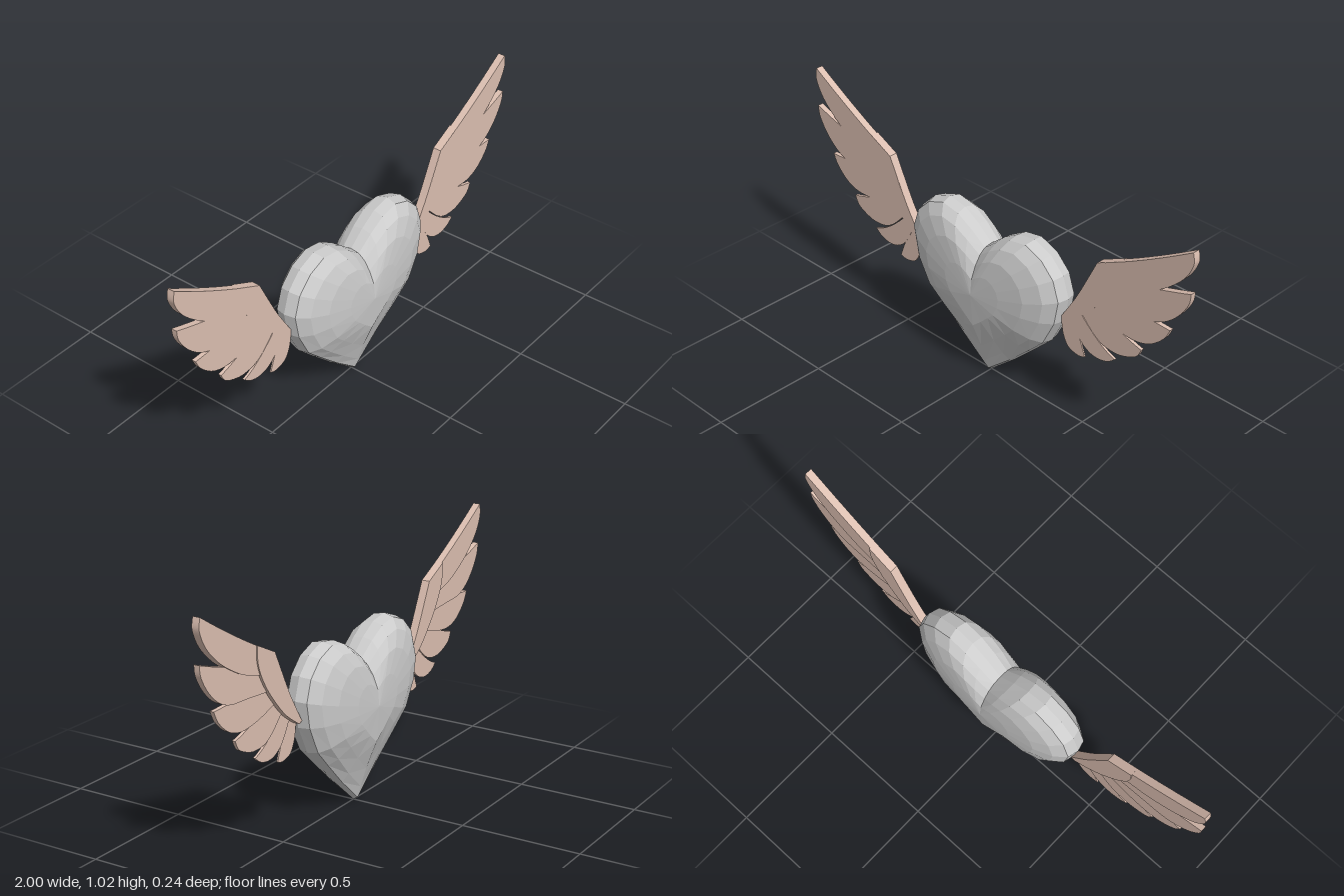
import * as THREE from 'three';

// Faceted heart: a half outline, mirrored, shrunk toward the middle in domed rings
function makeHeart() {
  // x, y, and how thin the dome is there (1 = pointed tip)
  const half = [
    [0, 0.003, 1], [0.13, 0.115, 0.7], [0.25, 0.23, 0.3], [0.33, 0.31, 0.08], [0.39, 0.43, 0],
    [0.41, 0.54, 0], [0.38, 0.63, 0], [0.315, 0.695, 0], [0.23, 0.727, 0], [0.145, 0.712, 0],
    [0.07, 0.667, 0.1], [0, 0.61, 0.3],
  ];
  const outline = [...half, ...half.slice(1, -1).reverse().map(([x, y, w]) => [-x, y, w])];
  // scale, depth of the full dome, depth toward the tip
  const rings = [[1, 0, 0], [0.97, 0.045, 0.02], [0.85, 0.08, 0.034], [0.65, 0.104, 0.06], [0.36, 0.116, 0.107]];
  const midY = 0.42, n = outline.length;
  const layers = [
    ...rings.slice(1).reverse().map((r) => [...r, 1]),
    ...rings.map((r) => [...r, -1]),
  ];
  const pos = [], idx = [];
  for (const [s, full, thin, side] of layers) {
    for (const [x, y, w] of outline) {
      pos.push(x * s, midY + (y - midY) * s, side * (full + (thin - full) * w));
    }
  }
  const front = pos.length / 3, back = front + 1, last = (layers.length - 1) * n;
  pos.push(0, midY, 0.12, 0, midY, -0.12);
  for (let i = 0; i < n; i++) {
    const j = (i + 1) % n;
    idx.push(front, i, j, back, last + j, last + i);
    for (let k = 0; k < layers.length - 1; k++) {
      const a = k * n + i, b = k * n + j;
      idx.push(a, a + n, b, b, a + n, b + n);
    }
  }
  const geo = new THREE.BufferGeometry();
  geo.setAttribute('position', new THREE.Float32BufferAttribute(pos, 3));
  geo.setIndex(idx);
  geo.computeVertexNormals();
  const heart = new THREE.Mesh(geo, new THREE.MeshStandardMaterial({ color: 0xcccccc, flatShading: true }));
  heart.name = 'heart';
  return heart;
}

// Feathers from the top down: start of the upper edge, tip, curved lower edge, root under the cover
const feathers = [
  { start: [0.56, 0.78], sag: [0.755, 0.87], tip: [0.995, 1.02],
    edge: [[1, 0.97], [0.965, 0.9], [0.9, 0.835], [0.835, 0.79], [0.75, 0.745], [0.65, 0.715]], root: [0.5, 0.65] },
  { start: [0.64, 0.75], sag: [0.82, 0.785], tip: [0.998, 0.848],
    edge: [[0.99, 0.8], [0.95, 0.735], [0.89, 0.68], [0.82, 0.652], [0.72, 0.645], [0.6, 0.635]], root: [0.48, 0.6] },
  { start: [0.59, 0.68], sag: [0.78, 0.655], tip: [0.915, 0.653],
    edge: [[0.89, 0.605], [0.835, 0.555], [0.775, 0.532], [0.71, 0.53], [0.63, 0.545], [0.55, 0.57]], root: [0.45, 0.55] },
  { start: [0.53, 0.61], sag: [0.67, 0.53], tip: [0.788, 0.502],
    edge: [[0.765, 0.462], [0.71, 0.435], [0.66, 0.426], [0.6, 0.434], [0.55, 0.465], [0.5, 0.515]], root: [0.43, 0.52] },
  { start: [0.47, 0.54], sag: [0.58, 0.42], tip: [0.663, 0.395],
    edge: [[0.63, 0.37], [0.585, 0.358], [0.54, 0.364], [0.5, 0.388], [0.47, 0.425], [0.445, 0.47]], root: [0.41, 0.48] },
  { start: [0.44, 0.5], sag: [0.49, 0.4], tip: [0.514, 0.33],
    edge: [[0.48, 0.322], [0.43, 0.337], [0.403, 0.38], [0.392, 0.43]], root: [0.39, 0.465] },
];
const backs = [-0.013, -0.007, -0.001, 0.003, 0.006, 0.01];

function makeWing(side, material) {
  const wing = new THREE.Group();
  const plate = (shape, back, front, name) => {
    const geo = new THREE.ExtrudeGeometry(shape, { depth: front - back, bevelEnabled: false, curveSegments: 10 });
    geo.translate(0, 0, back);
    const mesh = new THREE.Mesh(geo, material);
    mesh.name = name;
    wing.add(mesh);
  };
  const at = ([x, y]) => new THREE.Vector2(side * x, y);

  feathers.forEach(({ start, sag, tip, edge, root }, i) => {
    const shape = new THREE.Shape();
    shape.moveTo(side * start[0], start[1]);
    shape.quadraticCurveTo(side * sag[0], sag[1], side * tip[0], tip[1]);
    shape.splineThru(edge.map(at));
    shape.lineTo(side * root[0], root[1]);
    shape.closePath();
    plate(shape, backs[i], 0.018 - i * 0.0004, 'feather' + (i + 1));
  });

  // Arm along the leading edge, standing a little proud at the back
  const arm = new THREE.Shape();
  arm.moveTo(side * 0.39, 0.462);
  arm.splineThru([[0.435, 0.535], [0.48, 0.615], [0.56, 0.78]].map(at));
  arm.lineTo(side * 0.67, 0.834);
  arm.splineThru([[0.668, 0.77], [0.645, 0.705], [0.59, 0.62], [0.5, 0.52], [0.41, 0.455]].map(at));
  arm.closePath();
  plate(arm, -0.018, 0.0177, 'wingArm');
  return wing;
}

export function createModel() {
  const model = new THREE.Group();
  model.name = 'wingedHeart';
  model.add(makeHeart());
  const wingMaterial = new THREE.MeshStandardMaterial({ color: 0xdcbfb1 });
  for (const [side, name] of [[1, 'leftWing'], [-1, 'rightWing']]) {
    const wing = makeWing(side, wingMaterial);
    wing.name = name;
    model.add(wing);
  }
  return model;
}
